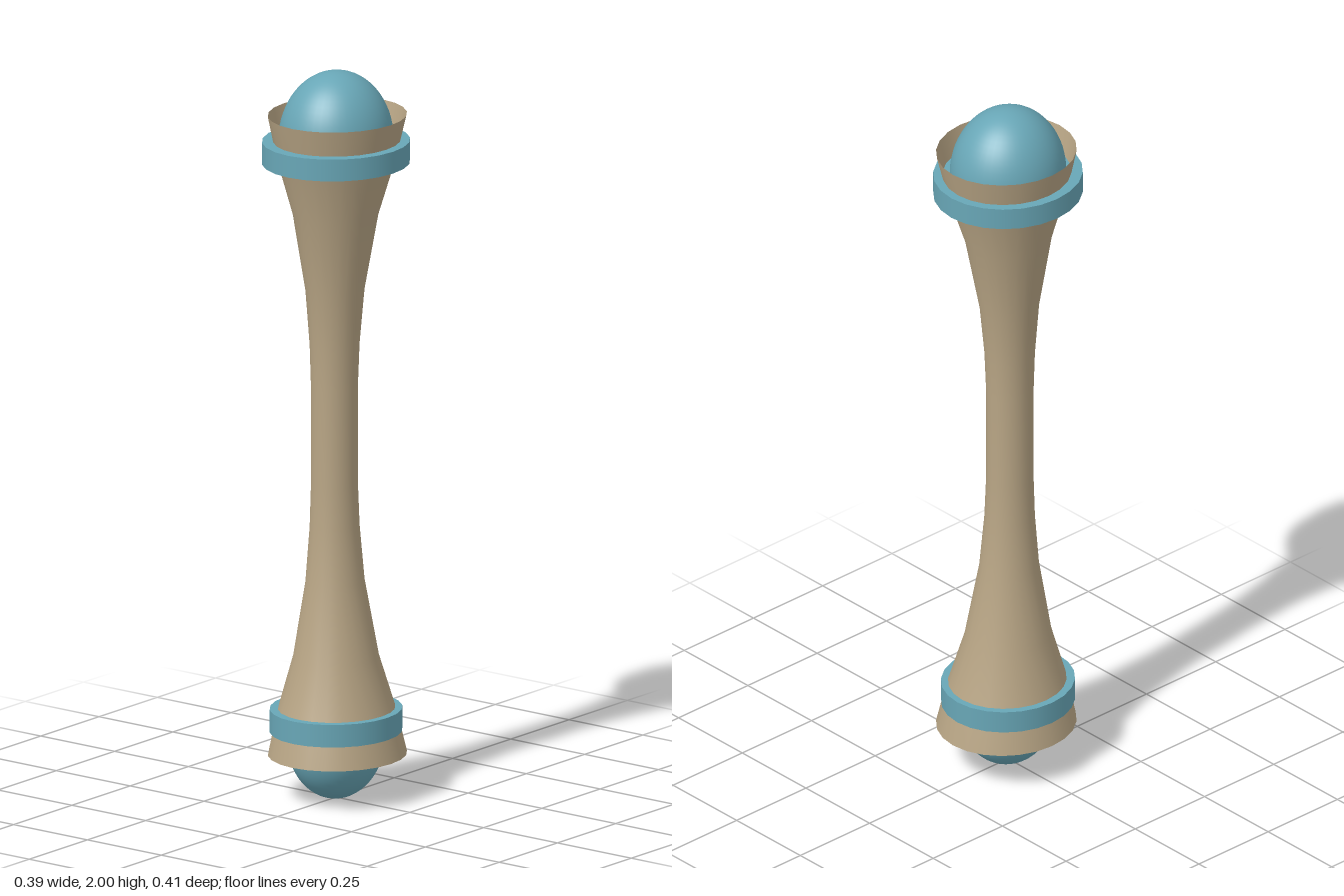
import * as THREE from 'three';

export function createModel() {
  const group = new THREE.Group();
  const tan = new THREE.MeshStandardMaterial({ color: 0xb8a585, side: THREE.DoubleSide });
  const blue = new THREE.MeshStandardMaterial({ color: 0x68a6b6 });

  function add(name, geometry, material, y = 0) {
    const mesh = new THREE.Mesh(geometry, material);
    mesh.name = name;
    mesh.position.y = y;
    group.add(mesh);
  }

  // Flared handle: open at both ends, slightly oval and very slightly bowed
  const half = [[0, 0.061], [0.13, 0.061], [0.25, 0.065], [0.4, 0.077], [0.61, 0.112], [0.75, 0.152], [0.81, 0.166], [0.88, 0.181]];
  const lower = half.slice(1).reverse().map(([d, r]) => new THREE.Vector2(r, 1 - d));
  const upper = half.map(([d, r]) => new THREE.Vector2(r, 1 + d));
  const handle = new THREE.LatheGeometry([...lower, ...upper], 24);
  handle.scale(1, 1, 1.065);
  const p = handle.attributes.position;
  for (let i = 0; i < p.count; i++) {
    const d = (p.getY(i) - 1) / 0.88;
    p.setZ(i, p.getZ(i) + 0.007 - 0.013 * d * d);
  }
  add('handle', handle, tan);

  // Collars: solid discs the handle passes through
  function collar(name, r, y0, y1) {
    const g = new THREE.CylinderGeometry(r, r, y1 - y0, 24);
    g.scale(1, 1, 1.06);
    add(name, g, blue, (y0 + y1) / 2);
  }
  collar('upperCollar', 0.193, 1.75, 1.81);
  collar('lowerCollar', 0.173, 0.185, 0.247);

  // Egg-shaped end knobs
  function knob(name, rx, ry, rz, y) {
    const g = new THREE.SphereGeometry(1, 48, 32);
    g.scale(rx, ry, rz);
    add(name, g, blue, y);
  }
  knob('upperKnob', 0.15, 0.188, 0.159, 1.812);
  knob('lowerKnob', 0.125, 0.16, 0.138, 0.16);

  return group;
}
